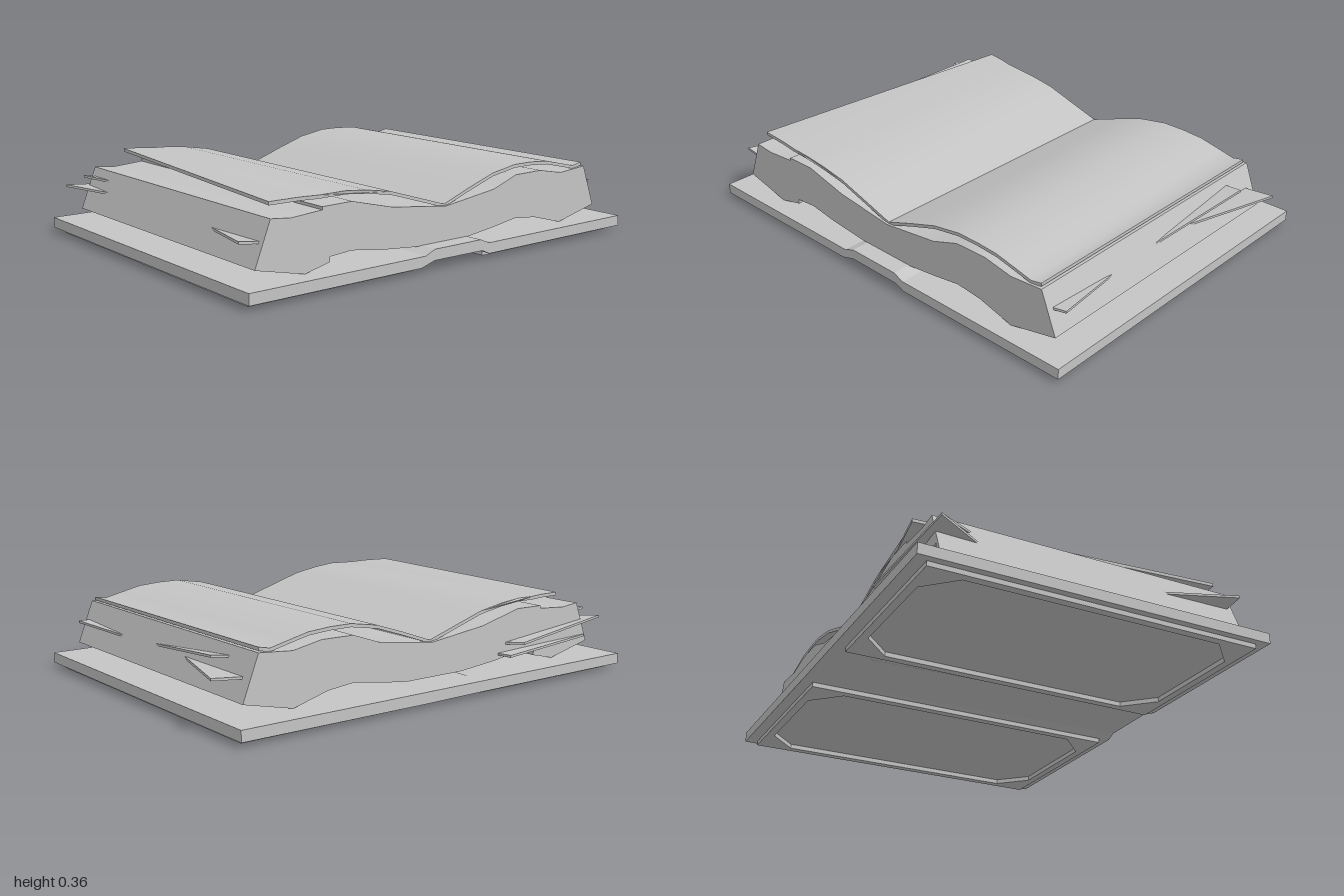
import * as THREE from 'three';
import { toCreasedNormals } from 'three/addons/utils/BufferGeometryUtils.js';
import { ConvexGeometry } from 'three/addons/geometries/ConvexGeometry.js';

export function createModel() {
  const book = new THREE.Group();
  book.name = 'openBook';
  const grey = new THREE.MeshStandardMaterial({ color: 0xc4c4c4 });
  grey.name = 'grey';

  const add = (name, geometry, crease = 0.5) => {
    const mesh = new THREE.Mesh(toCreasedNormals(geometry, crease), grey);
    mesh.name = name;
    book.add(mesh);
    return mesh;
  };
  const shapeOf = (pts) => new THREE.Shape(pts.map(([x, y]) => new THREE.Vector2(x, y)));

  // Front outline swept from z0 to z1, with an optional rule that moves its vertices
  const sweep = (pts, z0, z1, rule) => {
    const g = new THREE.ExtrudeGeometry(shapeOf(pts), { depth: z1 - z0, bevelEnabled: false });
    g.translate(0, 0, z0);
    if (rule) {
      const p = g.attributes.position;
      const v = new THREE.Vector3();
      for (let i = 0; i < p.count; i++) {
        rule(v.fromBufferAttribute(p, i));
        p.setXYZ(i, v.x, v.y, v.z);
      }
    }
    g.computeVertexNormals();
    return g;
  };

  // Cover boards joined by a spine that is pushed up towards the front
  add('cover', sweep([
    [-1, 0.02], [-0.2, 0.02], [-0.13, 0.04], [0.13, 0.038], [0.17, 0.02], [0.985, 0.02],
    [0.985, 0.065], [0.17, 0.065], [0.12, 0.085], [-0.13, 0.085], [-0.18, 0.065], [-1, 0.065],
  ], -0.77, 0.76, (v) => { if (Math.abs(v.x) < 0.15 && v.z < 0) v.y -= 0.02; }), 0.2);

  // Raised frame and corner pieces under each board
  const slab = (name, shape) => {
    const g = new THREE.ExtrudeGeometry(shape, { depth: 0.02, bevelEnabled: false });
    add(name, g.rotateX(Math.PI / 2).translate(0, 0.02, 0));
  };
  const rect = (x0, x1, z0, z1) => [[x0, z0], [x1, z0], [x1, z1], [x0, z1]];
  for (const [x0, x1] of [[-0.97, -0.2], [0.18, 0.955]]) {
    const z0 = -0.72, z1 = 0.71, w = 0.035;
    const frame = shapeOf(rect(x0, x1, z0, z1));
    frame.holes.push(shapeOf(rect(x0 + w, x1 - w, z0 + w, z1 - w)));
    slab('coverFrame', frame);
    for (const [x, sx] of [[x0 + w, 1], [x1 - w, -1]]) {
      for (const [z, sz] of [[z0 + w, 1], [z1 - w, -1]]) {
        slab('coverCorner', shapeOf([[x, z], [x + sx * 0.12, z], [x, z + sz * 0.12]]));
      }
    }
  }

  // Thick block of pages
  add('pageBlock', sweep([
    [-0.92, 0.115], [-0.7, 0.065], [-0.585, 0.092], [-0.585, 0.112], [-0.48, 0.12], [-0.35, 0.1],
    [-0.16, 0.083], [0.13, 0.083], [0.27, 0.1], [0.4, 0.12], [0.52, 0.108], [0.68, 0.065],
    [0.9, 0.115], [0.83, 0.295], [0.68, 0.283], [0.55, 0.307], [0.4, 0.305], [0.27, 0.26],
    [0, 0.225], [-0.28, 0.258], [-0.48, 0.307], [-0.62, 0.305], [-0.62, 0.293], [-0.76, 0.283],
    [-0.85, 0.292],
  ], -0.65, 0.68));

  // Open top sheet, its left side turned slightly askew
  const top = [
    [-0.83, 0.345], [-0.7, 0.347], [-0.62, 0.345], [-0.5, 0.348], [-0.4, 0.338], [-0.28, 0.318],
    [-0.14, 0.275], [0, 0.232], [0.14, 0.282], [0.27, 0.325], [0.4, 0.347], [0.5, 0.347],
    [0.6, 0.34], [0.7, 0.318], [0.77, 0.302], [0.82, 0.312],
  ];
  const under = top.map(([x, y]) => [x, y - 0.014]).reverse();
  add('topSheet', sweep([...under, ...top], -0.635, 0.67, (v) => {
    const t = THREE.MathUtils.clamp((-0.5 - v.x) / 0.33, 0, 1);
    if (v.z < 0) v.x += 0.13 * t;
    v.z -= 0.028 * t;
    v.y += v.z < 0 ? 0.012 * t : 0;
  }));

  // Loose sheet corners sticking out of the block
  const looseSheet = (...corners) => {
    const pts = corners.flatMap(([x, y, z]) => [-0.005, 0.005].map((d) => new THREE.Vector3(x, y + d, z)));
    add('looseSheet', new ConvexGeometry(pts), 0.2);
  };
  looseSheet([1, 0.212, -0.6], [0.84, 0.196, -0.6], [0.85, 0.197, -0.14]);
  looseSheet([0.92, 0.262, -0.47], [0.82, 0.25, -0.48], [0.865, 0.21, 0.04]);
  looseSheet([0.915, 0.215, 0.64], [0.82, 0.21, 0.66], [0.87, 0.2, 0.32]);
  looseSheet([-0.97, 0.218, 0.655], [-0.84, 0.2, 0.655], [-0.88, 0.2, 0.33]);
  looseSheet([-0.98, 0.22, -0.67], [-0.46, 0.17, -0.715], [-0.4, 0.165, -0.63], [-0.86, 0.2, -0.43]);
  looseSheet([-0.915, 0.26, -0.63], [-0.8, 0.24, -0.62], [-0.86, 0.25, -0.48]);
  looseSheet([-0.9, 0.14, -0.655], [-0.38, 0.125, -0.715], [-0.37, 0.125, -0.64], [-0.85, 0.14, -0.6]);

  return book;
}
